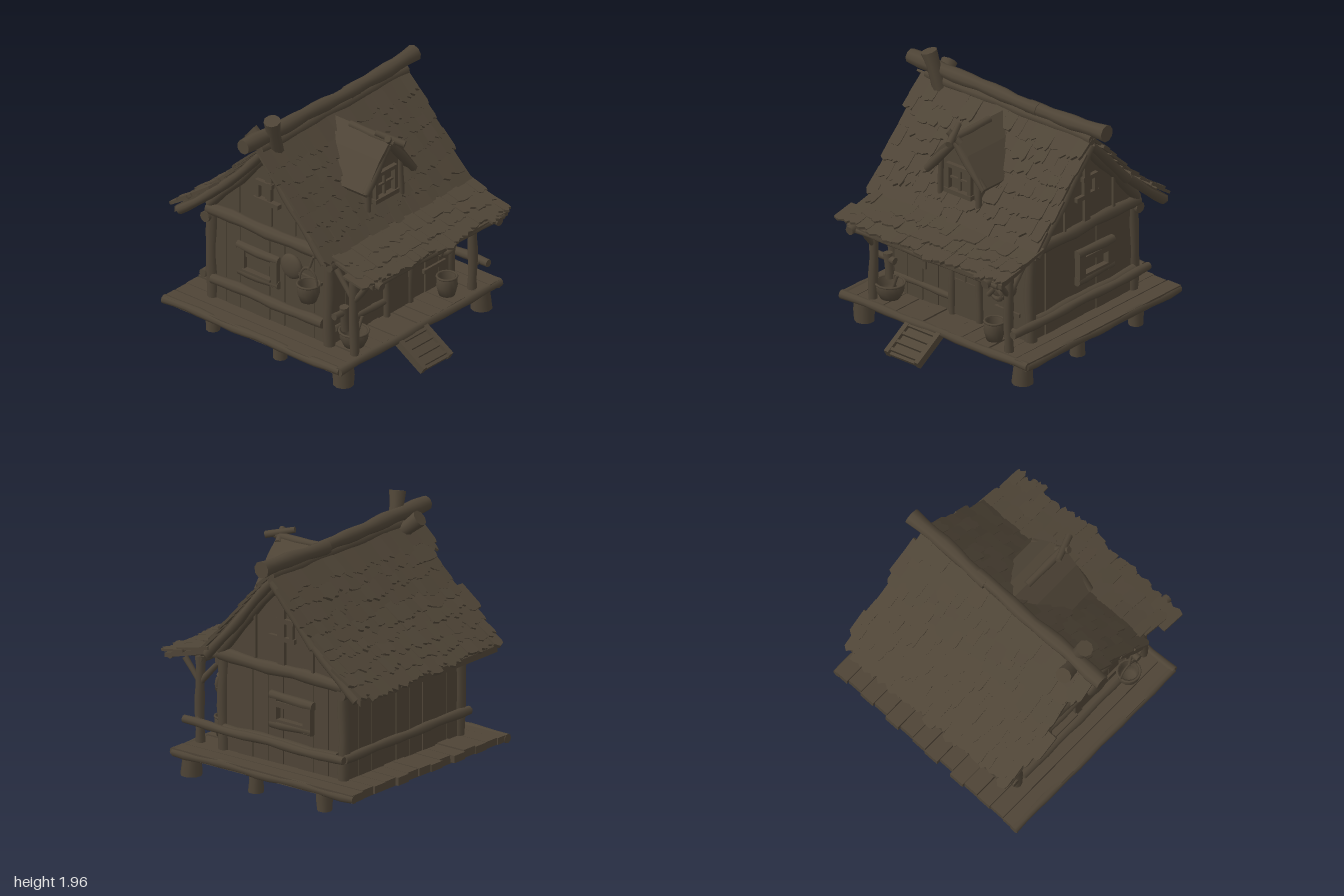
import * as THREE from 'three';
import { mergeGeometries } from 'three/addons/utils/BufferGeometryUtils.js';

let seed = 7;
const rnd = () => ((seed = (seed * 16807) % 2147483647) / 2147483647);
const jit = (a) => (rnd() * 2 - 1) * a;
const V = (x, y, z) => new THREE.Vector3(x, y, z);

export function createModel() {
  seed = 7;
  const wood = new THREE.MeshStandardMaterial({ color: 0x4e4436, side: THREE.DoubleSide });
  wood.name = 'weathered wood';
  const root = new THREE.Group();
  root.name = 'cottage';

  const add = (name, geos) => {
    const list = (Array.isArray(geos) ? geos : [geos]).map((g) => (g.index ? g.toNonIndexed() : g));
    const m = new THREE.Mesh(list.length > 1 ? mergeGeometries(list) : list[0], wood);
    m.name = name;
    root.add(m);
    return m;
  };

  // Box given by its limits, optionally tilted about z
  const box = (x0, x1, y0, y1, z0, z1, rz = 0) =>
    new THREE.BoxGeometry(x1 - x0, y1 - y0, z1 - z0).rotateZ(rz)
      .translate((x0 + x1) / 2, (y0 + y1) / 2, (z0 + z1) / 2);

  // Slightly gnarled log between two points
  const log = (a, b, r, r2 = r) => {
    const A = V(...a), B = V(...b), d = B.clone().sub(A), len = d.length();
    const g = new THREE.CylinderGeometry(r2, r, len, 9, Math.max(2, Math.ceil(len / 0.12)));
    const p = g.attributes.position, ph = rnd() * 6;
    for (let i = 0; i < p.count; i++) {
      const k = 1 + 0.1 * Math.sin(p.getY(i) * 17 + ph);
      p.setXYZ(i, p.getX(i) * k + 0.006 * Math.sin(p.getY(i) * 9 + ph), p.getY(i), p.getZ(i) * k);
    }
    return g.applyQuaternion(new THREE.Quaternion().setFromUnitVectors(V(0, 1, 0), d.normalize()))
      .translate((a[0] + b[0]) / 2, (a[1] + b[1]) / 2, (a[2] + b[2]) / 2);
  };

  const extrude = (pts, depth) => new THREE.ExtrudeGeometry(
    new THREE.Shape(pts.map((p) => new THREE.Vector2(...p))), { depth, bevelEnabled: false });

  // Stilts and deck
  const feet = [];
  for (const z of [0.72, -0.81]) for (const x of [-0.6, 0.05, 0.65]) feet.push(log([x, 0, z], [x, 0.18, z], x > 0.5 ? 0.075 : 0.058));
  add('stilts', feet);
  const deck = [box(-0.93, 0.71, 0.15, 0.19, -0.9, 0.85)];
  for (let i = 0; i < 14; i++) {
    const z = -0.93 + i * 0.129;
    deck.push(box(-0.95 + jit(0.02), 0.73 + jit(0.02), 0.16, 0.215 + jit(0.008), z, z + 0.123, jit(0.004)));
  }
  add('deck', deck);
  add('deckRims', [log([-0.96, 0.185, 0.855], [0.74, 0.185, 0.855], 0.033), log([-0.96, 0.185, -0.91], [0.74, 0.185, -0.91], 0.033),
    log([0.73, 0.19, -0.93], [0.73, 0.19, 0.87], 0.033)]);

  // Ramp with rungs
  const ramp = [box(0.71, 1.0, 0.075, 0.1, -0.07, 0.21, -0.55)];
  for (const z of [-0.08, 0.21]) ramp.push(box(0.7, 1.01, 0.07, 0.13, z - 0.02, z + 0.02, -0.55));
  for (let i = 0; i < 4; i++) ramp.push(box(0.75 + i * 0.065, 0.775 + i * 0.065, 0.15 - i * 0.04, 0.185 - i * 0.04, -0.07, 0.2, -0.55));
  add('ramp', ramp);

  // Plank walls around a solid core
  add('wallCore', box(-0.69, 0.44, 0.2, 0.98, -0.7, 0.62));
  const planks = [];
  for (let i = 0; i < 8; i++) {
    const x = -0.69 + i * 0.141;
    planks.push(box(x, x + 0.137, 0.21, 0.95, 0.61, 0.635 + jit(0.008)), box(x, x + 0.137, 0.21, 0.95, -0.715 + jit(0.008), -0.69));
  }
  for (let i = 0; i < 9; i++) {
    const z = -0.7 + i * 0.147;
    planks.push(box(0.43, 0.455 + jit(0.008), 0.21, 0.95, z, z + 0.142), box(-0.705 + jit(0.008), -0.68, 0.21, 0.95, z, z + 0.142));
  }
  add('wallPlanks', planks);
  const frame = [];
  for (const x of [-0.69, 0.44]) for (const z of [-0.7, 0.63]) frame.push(log([x, 0.2, z], [x, 0.98, z], 0.045));
  for (const [z, s] of [[0.65, 1], [-0.72, -1]]) {
    frame.push(log([-0.71, 0.95, z], [0.46, 0.95, z], 0.05), log([-0.66, 0.385, z + s * 0.01], [0.41, 0.385, z + s * 0.01], 0.042));
  }
  frame.push(log([-0.71, 0.89, -0.76], [-0.71, 0.89, 0.7], 0.04), log([-0.735, 0.4, -0.76], [-0.735, 0.4, 0.68], 0.035),
    log([0.47, 0.89, -0.72], [0.47, 0.89, 0.68], 0.04), log([0.46, 0.34, 0.05], [0.46, 0.34, 0.6], 0.025));
  add('wallFrame', frame);

  // Gables with sloping trim and a small attic window
  for (const [z, s] of [[0.6, 1], [-0.69, -1]]) {
    const name = s > 0 ? 'front' : 'back', f = z + s * 0.04;
    add(name + 'Gable', extrude([[-0.7, 0.97], [0.46, 0.97], [-0.1, 1.64]], 0.03).translate(0, 0, s > 0 ? z : z - 0.03));
    add(name + 'GableTrim', [log([-0.7, 0.98, f], [-0.11, 1.62, f], 0.04), log([0.45, 0.98, f], [-0.1, 1.62, f], 0.04),
      box(-0.165, -0.105, 1.0, 1.58, f - 0.02, f + 0.008), box(-0.44, -0.42, 1.0, 1.24, f - 0.02, f), box(0.1, 0.12, 1.0, 1.34, f - 0.02, f)]);
    add(name + 'AtticWindow', [box(-0.26, -0.02, 1.18, 1.215, f - 0.02, f + 0.035), box(-0.245, -0.215, 1.2, 1.34, f - 0.02, f + 0.025),
      box(-0.13, -0.1, 1.2, 1.36, f - 0.02, f + 0.025), box(-0.25, -0.09, 1.32, 1.355, f - 0.02, f + 0.025)]);
    add(name + 'Window', [log([-0.43, 0.74, f], [-0.03, 0.74, f], 0.036), log([-0.42, 0.535, f], [-0.03, 0.535, f], 0.036),
      box(-0.42, -0.35, 0.52, 0.75, f - 0.03, f + 0.03), box(-0.1, -0.035, 0.52, 0.75, f - 0.03, f + 0.03),
      box(-0.36, -0.09, 0.67, 0.715, f - 0.03, f + 0.015), box(-0.36, -0.09, 0.555, 0.575, f - 0.03, f + 0.045)]);
  }

  // Roof slabs
  const left = [[-0.1, 1.69], [-0.5, 1.27], [-0.94, 0.92]];
  const right = [[-0.1, 1.69], [0.2, 1.36], [0.52, 0.99]];
  const porch = [[0.47, 1.01], [0.7, 0.94], [0.9, 0.885]];
  const slab = (pts, t, z0, z1) =>
    extrude([...pts, ...[...pts].reverse().map(([x, y]) => [x, y - t])], z1 - z0).translate(0, 0, z0);
  add('roofDeck', [slab(left, 0.05, -0.82, 0.76), slab(right, 0.05, -0.82, 0.76), slab(porch, 0.035, -0.82, 0.68)]);

  // Ragged overlapping shingles in courses down a slope
  const shingles = (pts, rows, z0, z1, len, lift) => {
    const curve = new THREE.CurvePath();
    for (let i = 1; i < pts.length; i++) curve.add(new THREE.LineCurve(new THREE.Vector2(...pts[i - 1]), new THREE.Vector2(...pts[i])));
    const out = [], total = curve.getLength();
    for (let r = 0; r < rows; r++) {
      const u = Math.max(0.005, (total - len * 0.85) / total * r / (rows - 1));
      const p = curve.getPoint(u), q = curve.getPoint(Math.min(1, u + len / total));
      const up = V(p.x - q.x, p.y - q.y, 0).normalize();
      const n = up.x < 0 ? V(up.y, -up.x, 0) : V(-up.y, up.x, 0);
      const basis = new THREE.Matrix4().makeBasis(up.clone().cross(n), up, n);
      for (let z = z0 + jit(0.02); z < z1 - 0.03;) {
        const w = 0.075 + rnd() * 0.07, h = w / 2, L = len + jit(0.03);
        const g = extrude([[-h, 0.01], [-h, -L + 0.02 + jit(0.015)], [-h * 0.35, -L + jit(0.015)], [h * 0.3, -L + 0.02 + jit(0.02)],
          [h * 0.8, -L + 0.01], [h, -L + 0.04], [h, 0.01]], 0.016 + rnd() * 0.008);
        out.push(g.rotateX(-lift - rnd() * 0.07).rotateZ(jit(0.06)).applyMatrix4(basis).translate(p.x, p.y, z + h));
        z += w * 0.93;
      }
    }
    return out;
  };
  add('leftShingles', shingles(left, 9, -0.85, 0.8, 0.21, 0.06));
  add('rightShingles', shingles(right, 7, -0.85, 0.79, 0.2, 0.06));
  add('porchShingles', shingles(porch, 3, -0.85, 0.7, 0.22, 0.03));
  const barge = [];
  for (const z of [0.75, -0.81]) {
    barge.push(log([-0.1, 1.645, z], [-0.5, 1.225, z], 0.035), log([-0.5, 1.225, z], [-0.9, 0.9, z], 0.035), log([-0.1, 1.645, z], [0.5, 0.955, z], 0.035));
  }
  add('bargeLogs', barge);

  // Ridge log and crossed poles
  add('ridgeLog', [log([-0.11, 1.785, 0.95], [-0.11, 1.76, -0.3], 0.06, 0.048), log([-0.11, 1.755, -0.2], [-0.11, 1.78, -0.95], 0.05, 0.06),
    log([-0.1, 1.7, -0.83], [-0.1, 1.7, 0.78], 0.04)]);
  add('crossedPoles', [log([-0.08, 1.62, 0.62], [-0.04, 1.93, 0.71], 0.055, 0.06), log([-0.08, 1.62, 0.66], [-0.26, 1.77, 0.7], 0.06)]);

  // Dormer
  const alongX = (pts, x0, x1) => extrude(pts, x1 - x0).rotateY(Math.PI / 2).translate(x0, 0, 0);
  add('dormerBody', alongX([[-0.19, 1.0], [0.19, 1.0], [0.19, 1.42], [0, 1.61], [-0.19, 1.42]], 0, 0.41));
  add('dormerRoof', alongX([[-0.29, 1.33], [-0.13, 1.55], [0, 1.68], [0.13, 1.55], [0.29, 1.33], [0.27, 1.3], [0, 1.61], [-0.27, 1.3]], -0.05, 0.49));
  const dormer = [log([0.1, 1.66, 0], [0.53, 1.66, 0], 0.03)];
  for (const s of [-1, 1]) {
    dormer.push(log([0.47, 1.32, s * 0.27], [0.47, 1.64, s * -0.01], 0.033), log([0.42, 1.12, s * 0.185], [0.42, 1.42, s * 0.185], 0.022),
      box(0.4, 0.445, 1.19, 1.39, s * 0.105 - 0.015, s * 0.105 + 0.015));
  }
  dormer.push(log([0.38, 1.71, 0.05], [0.59, 1.66, -0.04], 0.025), log([0.46, 1.62, -0.04], [0.5, 1.7, 0.05], 0.028));
  add('dormerTrim', dormer);
  add('dormerWindow', [box(0.4, 0.455, 1.17, 1.205, -0.13, 0.13), box(0.4, 0.445, 1.375, 1.405, -0.12, 0.12),
    box(0.4, 0.43, 1.19, 1.39, -0.01, 0.01), box(0.4, 0.43, 1.285, 1.3, -0.1, 0.1)]);

  // Porch posts, braces, beams and end rail
  const posts = [log([0.67, 0.86, -0.72], [0.67, 0.86, 0.66], 0.035), log([0.88, 0.86, -0.78], [0.88, 0.86, 0.64], 0.025)];
  for (const z of [0.62, -0.69]) {
    posts.push(log([0.67, 0.2, z], [0.67, 0.88, z], 0.036), log([0.67, 0.66, z], [0.5, 0.86, z], 0.022), log([0.67, 0.66, z], [0.81, 0.84, z], 0.022),
      log([0.44, 0.935, z], [0.94, 0.87, z], 0.036));
  }
  add('porchFrame', posts);
  add('endRail', [log([-0.76, 0.4, -0.79], [0.74, 0.4, -0.79], 0.033), log([0.67, 0.4, -0.7], [0.67, 0.4, -0.8], 0.02)]);

  // Door
  add('door', [box(0.44, 0.475, 0.22, 0.67, -0.21, 0.01), box(0.45, 0.485, 0.5, 0.515, -0.2, 0), box(0.45, 0.485, 0.56, 0.575, -0.2, 0),
    box(0.45, 0.485, 0.5, 0.62, -0.11, -0.095)]);
  add('doorFrame', [log([0.47, 0.2, 0.03], [0.47, 0.7, 0.03], 0.028), log([0.47, 0.2, -0.23], [0.47, 0.7, -0.23], 0.028), log([0.48, 0.71, 0.07], [0.48, 0.71, -0.27], 0.04)]);
  add('wallPatches', [box(0.44, 0.472, 0.48, 0.66, 0.29, 0.4), box(0.44, 0.472, 0.56, 0.7, 0.14, 0.17), box(0.44, 0.48, 0.39, 0.42, -0.62, -0.38)]);

  // Open vessel from a small profile, with rim
  const vessel = (name, x, y, z, rBase, rTop, h) => {
    const mid = (rBase + rTop) / 2 + 0.012;
    const pts = [[0.001, 0], [rBase, 0], [mid, h * 0.5], [rTop, h], [rTop - 0.015, h], [mid - 0.02, h * 0.5], [rBase - 0.01, 0.02], [0.001, 0.02]];
    add(name, [new THREE.LatheGeometry(pts.map((p) => new THREE.Vector2(...p)), 16).translate(x, y, z),
      new THREE.TorusGeometry(rTop, 0.009, 6, 16).rotateX(Math.PI / 2).translate(x, y + h, z)]);
  };
  vessel('basin', 0.59, 0.225, 0.53, 0.075, 0.11, 0.12);
  vessel('porchBucket', 0.6, 0.225, -0.49, 0.06, 0.075, 0.15);
  vessel('hangingBucket', 0.36, 0.61, 0.77, 0.06, 0.085, 0.14);
  add('bucketHandle', [new THREE.TorusGeometry(0.085, 0.008, 6, 14, Math.PI).scale(1, 1.5, 1).translate(0.36, 0.75, 0.77),
    log([0.36, 0.87, 0.77], [0.4, 0.98, 0.76], 0.01)]);
  add('ladle', [log([0.6, 0.25, 0.52], [0.6, 0.43, 0.45], 0.012), log([0.57, 0.25, 0.5], [0.57, 0.41, 0.5], 0.01)]);
  add('sidePegs', [log([0.55, 0.5, 0.52], [0.55, 0.51, 0.7], 0.028), log([0.55, 0.35, 0.57], [0.55, 0.55, 0.59], 0.035)]);

  // Hanging pan on the front wall
  add('pan', [new THREE.SphereGeometry(0.1, 18, 10).scale(1, 1, 0.4).translate(0.12, 0.77, 0.68), box(0.2, 0.42, 0.725, 0.75, 0.68, 0.7, -0.08)]);

  // Tied sack on the porch wall
  add('sack', [new THREE.SphereGeometry(0.13, 16, 12).scale(0.6, 0.8, 1).translate(0.52, 0.63, -0.49),
    new THREE.ConeGeometry(0.06, 0.12, 10).translate(0.52, 0.75, -0.49), new THREE.TorusGeometry(0.09, 0.02, 6, 14).rotateY(1.3).translate(0.58, 0.64, -0.49),
    log([0.59, 0.56, -0.42], [0.59, 0.72, -0.56], 0.022), log([0.59, 0.7, -0.42], [0.59, 0.6, -0.58], 0.022)]);

  return root;
}
